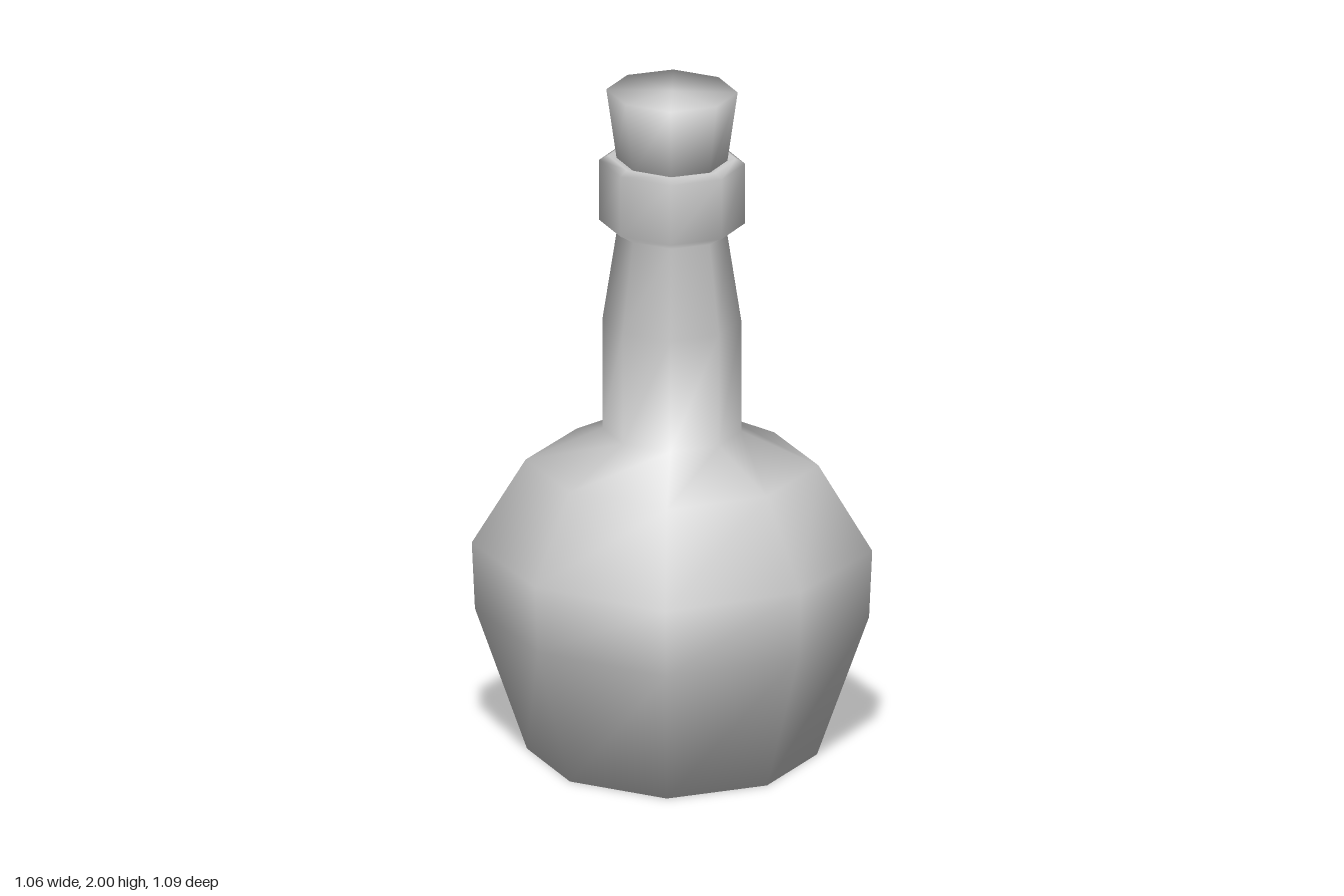
import * as THREE from 'three';

const SIDES = 8;

// Smooth eight-sided loft. Each ring is [x radius, z radius, y, diagonal factor].
function loft(rings, capBottom, capTop) {
  const positions = [];
  const index = [];
  for (const [rx, rz, y, diagonal] of rings) {
    for (let i = 0; i < SIDES; i++) {
      const angle = (i / SIDES) * Math.PI * 2;
      const k = i % 2 ? diagonal : 1;
      positions.push(Math.sin(angle) * rx * k, y, Math.cos(angle) * rz * k);
    }
  }
  for (let r = 0; r < rings.length - 1; r++) {
    for (let i = 0; i < SIDES; i++) {
      const j = (i + 1) % SIDES;
      const a = r * SIDES + i, b = r * SIDES + j;
      index.push(a, b, b + SIDES, a, b + SIDES, a + SIDES);
    }
  }
  // Caps share their rim vertices, so shading rolls over the edge.
  const addCap = (ring, up) => {
    const centre = positions.length / 3;
    positions.push(0, rings[ring][2], 0);
    for (let i = 0; i < SIDES; i++) {
      const a = ring * SIDES + i, b = ring * SIDES + (i + 1) % SIDES;
      if (up) index.push(centre, a, b);
      else index.push(centre, b, a);
    }
  };
  if (capBottom) addCap(0, false);
  if (capTop) addCap(rings.length - 1, true);

  const geometry = new THREE.BufferGeometry();
  geometry.setAttribute('position', new THREE.Float32BufferAttribute(positions, 3));
  geometry.setIndex(index);
  geometry.computeVertexNormals();
  return geometry;
}

export function createModel() {
  const group = new THREE.Group();
  group.name = 'corkedBottle';
  const grey = new THREE.MeshStandardMaterial({ color: 0xcccccc });
  grey.name = 'light grey';

  // Round belly, shoulder, tapering neck and thick lip
  const bottle = new THREE.Mesh(loft([
    [0.395, 0.405, 0, 1.04],
    [0.52, 0.54, 0.42, 1.067],
    [0.53, 0.547, 0.62, 1.067],
    [0.395, 0.405, 0.875, 1.05],
    [0.19, 0.2, 0.975, 1.02],
    [0.19, 0.2, 1.31, 1.02],
    [0.15, 0.16, 1.575, 1.02],
    [0.2, 0.212, 1.605, 1.02],
    [0.2, 0.212, 1.785, 1.02],
    [0.175, 0.186, 1.8, 1.02],
    [0.14, 0.15, 1.79, 1.02],
  ], true, false), grey);
  bottle.name = 'bottle';

  // Stopper widening upward from the mouth
  const cork = new THREE.Mesh(loft([
    [0.15, 0.16, 1.785, 1.02],
    [0.18, 0.19, 2, 1.02],
  ], true, true), grey);
  cork.name = 'cork';

  group.add(bottle, cork);
  return group;
}
